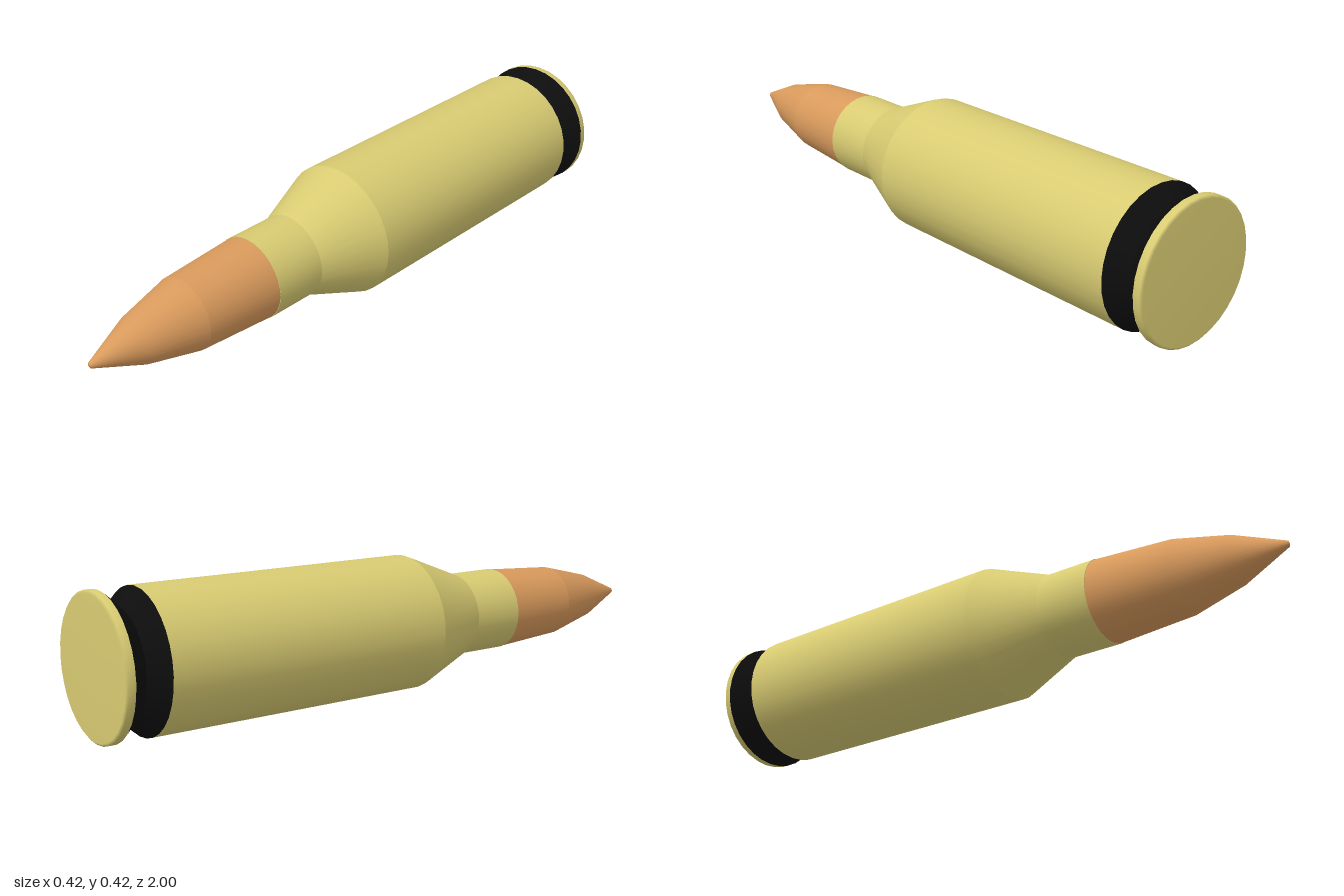
import * as THREE from 'three';

const SIDES = 32;
const RADIUS = 0.211;

export function createModel() {
  const group = new THREE.Group();
  group.name = 'cartridge';

  const brass = new THREE.MeshStandardMaterial({ color: 0xd8cb72 });
  const copper = new THREE.MeshStandardMaterial({ color: 0xd99a5c });
  const black = new THREE.MeshStandardMaterial({ color: 0x0d0d0d });

  // Turned part: profile of [radius, z] pairs, from back to front
  function turned(name, material, profile) {
    const points = profile.map(([r, z]) => new THREE.Vector2(r, z));
    const geometry = new THREE.LatheGeometry(points, SIDES);
    geometry.rotateX(Math.PI / 2);
    const mesh = new THREE.Mesh(geometry, material);
    mesh.name = name;
    mesh.position.y = RADIUS;
    group.add(mesh);
  }

  // Base disc and rim share normals, so the flat end shades softly
  turned('rim', brass, [[0, -1], [0.203, -1], [RADIUS, -0.994], [RADIUS, -0.973]]);

  // V-shaped extractor groove
  turned('grooveBack', black, [[RADIUS, -0.973], [0.163, -0.92]]);
  turned('grooveFront', black, [[0.163, -0.92], [RADIUS, -0.867]]);

  // Case: straight body, tapered shoulder, neck and its mouth edge
  turned('caseBody', brass, [[RADIUS, -0.867], [RADIUS, 0.05]]);
  turned('shoulder', brass, [[RADIUS, 0.05], [0.131, 0.255]]);
  turned('neck', brass, [[0.131, 0.255], [0.131, 0.425]]);
  turned('mouth', brass, [[0.131, 0.425], [0.126, 0.425]]);

  // Bullet: slightly tapered shank and pointed nose
  turned('bulletShank', copper, [[0.13, 0.42], [0.114, 0.675]]);
  turned('bulletNose', copper, [[0.114, 0.675], [0.073, 0.845], [0.009, 0.998], [0, 1]]);

  return group;
}
